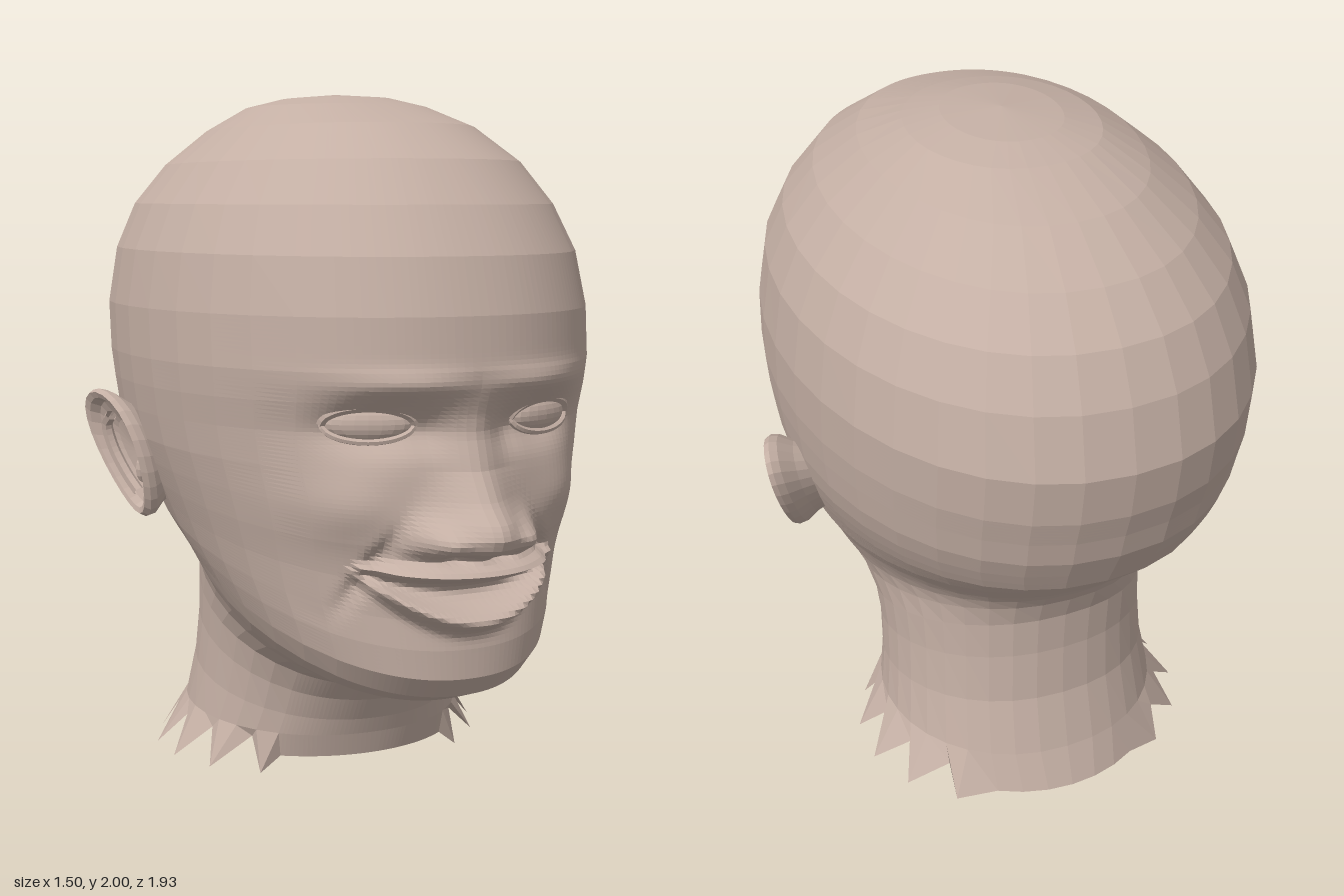
import * as THREE from 'three';

const skin = new THREE.MeshStandardMaterial({ color: 0xc4afa4, flatShading: true, side: THREE.DoubleSide });
skin.name = 'skin';

const { lerp } = THREE.MathUtils;

function part(name, geometry) {
  const mesh = new THREE.Mesh(geometry, skin);
  mesh.name = name;
  return mesh;
}

// Skin a list of closed rings of Vector3 into faceted faces
function loft(rows) {
  const pos = rows.flat().flatMap((p) => [p.x, p.y, p.z]);
  const n = rows[0].length, index = [];
  for (let i = 0; i < rows.length - 1; i++) {
    for (let j = 0; j < n; j++) {
      const k = (j + 1) % n;
      const a = i * n + j, b = a + n, c = (i + 1) * n + k, d = i * n + k;
      index.push(a, b, c, a, c, d);
    }
  }
  const g = new THREE.BufferGeometry();
  g.setAttribute('position', new THREE.Float32BufferAttribute(pos, 3));
  g.setIndex(index);
  const flat = g.toNonIndexed();
  flat.computeVertexNormals();
  return flat;
}

// Piecewise linear lookup in [y, value] pairs with falling y
function lookup(table, y) {
  if (y >= table[0][0]) return table[0][1];
  for (let i = 1; i < table.length; i++) {
    const [y0, v0] = table[i - 1], [y1, v1] = table[i];
    if (y >= y1) return lerp(v1, v0, (y - y1) / (y0 - y1));
  }
  return table[table.length - 1][1];
}

// Rings that tilt from the jaw to the nape: front y, front z, back y, back z, half width
const rings = [
  [2, -0.08, 2, -0.08, 0], [1.985, 0.12, 1.985, -0.28, 0.16],
  [1.96, 0.23, 1.96, -0.39, 0.26], [1.9, 0.44, 1.89, -0.58, 0.37],
  [1.8, 0.6, 1.79, -0.74, 0.49], [1.68, 0.705, 1.68, -0.85, 0.58],
  [1.55, 0.785, 1.55, -0.92, 0.635], [1.4, 0.83, 1.38, -0.963, 0.66],
  [1.26, 0.84, 1.24, -0.945, 0.66], [1.18, 0.825, 1.16, -0.92, 0.653],
  [1.1, 0.805, 1.08, -0.9, 0.642], [1, 0.8, 1.02, -0.87, 0.627],
  [0.9, 0.8, 0.98, -0.85, 0.605], [0.8, 0.8, 0.95, -0.835, 0.582],
  [0.7, 0.79, 0.925, -0.81, 0.558], [0.6, 0.79, 0.9, -0.785, 0.535],
  [0.52, 0.8, 0.875, -0.76, 0.51], [0.44, 0.8, 0.84, -0.725, 0.48],
  [0.38, 0.75, 0.8, -0.68, 0.455], [0.345, 0.66, 0.76, -0.645, 0.43],
  [0.33, 0.5, 0.71, -0.61, 0.41], [0.3, 0.34, 0.63, -0.58, 0.4],
  [0.24, 0.28, 0.5, -0.572, 0.397], [0.17, 0.24, 0.33, -0.58, 0.405],
  [0.12, 0.22, 0.15, -0.625, 0.425],
];

const noseHeight = [[1.14, 0], [1.08, 0.012], [1, 0.04], [0.92, 0.095], [0.87, 0.15],
  [0.84, 0.165], [0.805, 0.15], [0.785, 0.1], [0.77, 0.04], [0.75, 0]];
const noseWidth = [[1.14, 0.06], [1, 0.075], [0.88, 0.115], [0.82, 0.13]];

// Forward relief of the face at a point
function relief(px, y) {
  const x = Math.abs(px);
  const bump = (cx, cy, sx, sy) => Math.exp(-(((x - cx) / sx) ** 2) - ((y - cy) / sy) ** 2);
  const band = (cy, s) => Math.exp(-(((y - cy) / s) ** 2));
  let d = lookup(noseHeight, y) * Math.exp(-((x / lookup(noseWidth, y)) ** 2));
  d += 0.065 * bump(0.125, 0.825, 0.05, 0.042);            // nostril wings
  d -= 0.04 * bump(0.065, 0.775, 0.035, 0.014);            // nostrils
  d -= 0.07 * bump(0.24, 1.11, 0.13, 0.065);               // eye sockets
  d -= 0.02 * bump(0.11, 1.1, 0.05, 0.06);
  d += 0.025 * bump(0.2, 1.225, 0.17, 0.035);              // brows
  d += 0.035 * bump(0.33, 0.9, 0.12, 0.09);                // cheeks
  const fold = 0.2 + 0.5 * (0.85 - y);                     // smile folds
  d -= 0.03 * Math.exp(-(((x - fold) / 0.025) ** 2)) * band(0.74, 0.1);
  const open = Math.max(0, 1 - (x / 0.3) ** 2);            // lips and mouth
  if (open > 0) {
    const s = 0.35 + 0.65 * open;
    d += 0.1 * Math.sqrt(open) * band(0.735 + 0.1 * x * x, 0.026 * s);
    d += 0.085 * Math.sqrt(open) * band(0.605 + 1.4 * x * x, 0.032 * s);
    d -= 0.025 * open * band(0.67 + 0.75 * x * x, 0.028 * s);
  }
  return d;
}

function headGeometry() {
  // Column angles: fine across the face, broad around the sides and back
  const half = [];
  for (let i = 0; i < 22; i++) half.push(i * 0.68 / 22);
  for (let i = 0; i <= 14; i++) half.push(lerp(0.68, Math.PI, i / 14));
  const angles = [...half, ...half.slice(1, -1).reverse().map((t) => -t)];

  const makeRow = ([yf, zf, yb, zb, w]) => angles.map((t) => {
    const f = (1 + Math.cos(t)) / 2;
    const x = w * Math.sign(Math.sin(t)) * Math.abs(Math.sin(t)) ** 0.92;
    const y = lerp(yb, yf, f);
    let z = lerp(zb, zf, f);
    if (Math.abs(t) < 1.1 && yf > 0.4 && yf < 1.5) z += relief(x, y);
    return new THREE.Vector3(x, y, z);
  });

  const rows = [];
  for (let i = 0; i < rings.length - 1; i++) {
    const a = rings[i], b = rings[i + 1];
    const face = a[0] <= 1.4 && b[0] >= 0.44;
    const steps = face ? Math.ceil((a[0] - b[0]) / 0.0125) : 1;
    for (let s = 0; s < steps; s++) rows.push(makeRow(a.map((v, k) => lerp(v, b[k], s / steps))));
  }
  rows.push(makeRow(rings[rings.length - 1]));

  // Ragged lower edge of the neck, flaring at the sides
  rows.push(angles.map((t, j) => {
    const side = Math.abs(t) > 0.65 && Math.abs(t) < 2.5;
    const low = j % 2 === 0;
    const f = (1 + Math.cos(t)) / 2;
    const w = side && low ? 0.52 : 0.44;
    const y = side ? (low ? 0 : 0.1) : lerp(0.03, 0.05, f);
    return new THREE.Vector3(w * Math.sin(t), y, lerp(-0.67, 0.2, f));
  }));
  return loft(rows);
}

// A point on the ear plate, which leans outward toward its top and back
function earPoint(a, scale, out) {
  const c = Math.cos(a), s = Math.sin(a);
  const y = 0.96 + 0.185 * c * scale;
  const z = -0.11 - (0.105 + 0.03 * c) * s * scale - 0.05 * c * scale + 0.01;
  return new THREE.Vector3(0.675 + 0.3 * (-z - 0.11) + 0.2 * (y - 0.96) + out, y, z);
}

function makeEar() {
  const ear = new THREE.Group();
  const profile = [[0.6, -0.13], [0.8, -0.06], [0.97, -0.022], [1, 0], [0.95, 0.016],
    [0.86, 0.01], [0.8, -0.015], [0.5, -0.04], [0, -0.05]];
  const rows = profile.map(([scale, out]) =>
    Array.from({ length: 24 }, (_, j) => earPoint(j / 24 * Math.PI * 2, scale, out)));
  ear.add(part('earShell', loft(rows)));
  // Inner fold
  const fold = [0.2, 0.8, 1.5, 2.2, 2.8].map((a, i) => earPoint(a, 0.58 + 0.02 * i, -0.015));
  ear.add(part('earInnerFold', new THREE.TubeGeometry(new THREE.CatmullRomCurve3(fold), 14, 0.017, 6)));
  // Small flap in front of the ear canal
  const flap = part('earFlap', new THREE.SphereGeometry(0.03, 8, 6));
  flap.scale.set(0.7, 1.3, 0.8);
  flap.position.set(0.635, 0.92, -0.025);
  ear.add(flap);
  return ear;
}

function makeEye() {
  const eye = new THREE.Group();
  const ball = part('eyeball', new THREE.SphereGeometry(1, 20, 12));
  ball.scale.set(0.118, 0.05, 0.04);
  eye.add(ball);
  // Upper and lower lids follow the almond outline
  for (const [name, side, r] of [['upperEyelid', 1, 0.014], ['lowerEyelid', -1, 0.009]]) {
    const pts = Array.from({ length: 9 }, (_, i) => {
      const a = i / 8 * Math.PI;
      return new THREE.Vector3(0.122 * Math.cos(a), side * 0.046 * Math.sin(a), 0.004 + 0.022 * Math.sin(a));
    });
    eye.add(part(name, new THREE.TubeGeometry(new THREE.CatmullRomCurve3(pts), 20, r, 6)));
  }
  eye.position.set(0.25, 1.12, 0.685);
  eye.rotation.y = 0.4;
  return eye;
}

export function createModel() {
  const model = new THREE.Group();
  model.name = 'humanHead';
  model.add(part('headAndNeck', headGeometry()));
  for (const [label, side] of [['left', 1], ['right', -1]]) {
    const features = new THREE.Group();
    features.name = label + 'Features';
    const ear = makeEar(), eye = makeEye();
    ear.name = label + 'Ear';
    eye.name = label + 'Eye';
    features.add(ear, eye);
    features.scale.x = side;
    model.add(features);
  }
  return model;
}
